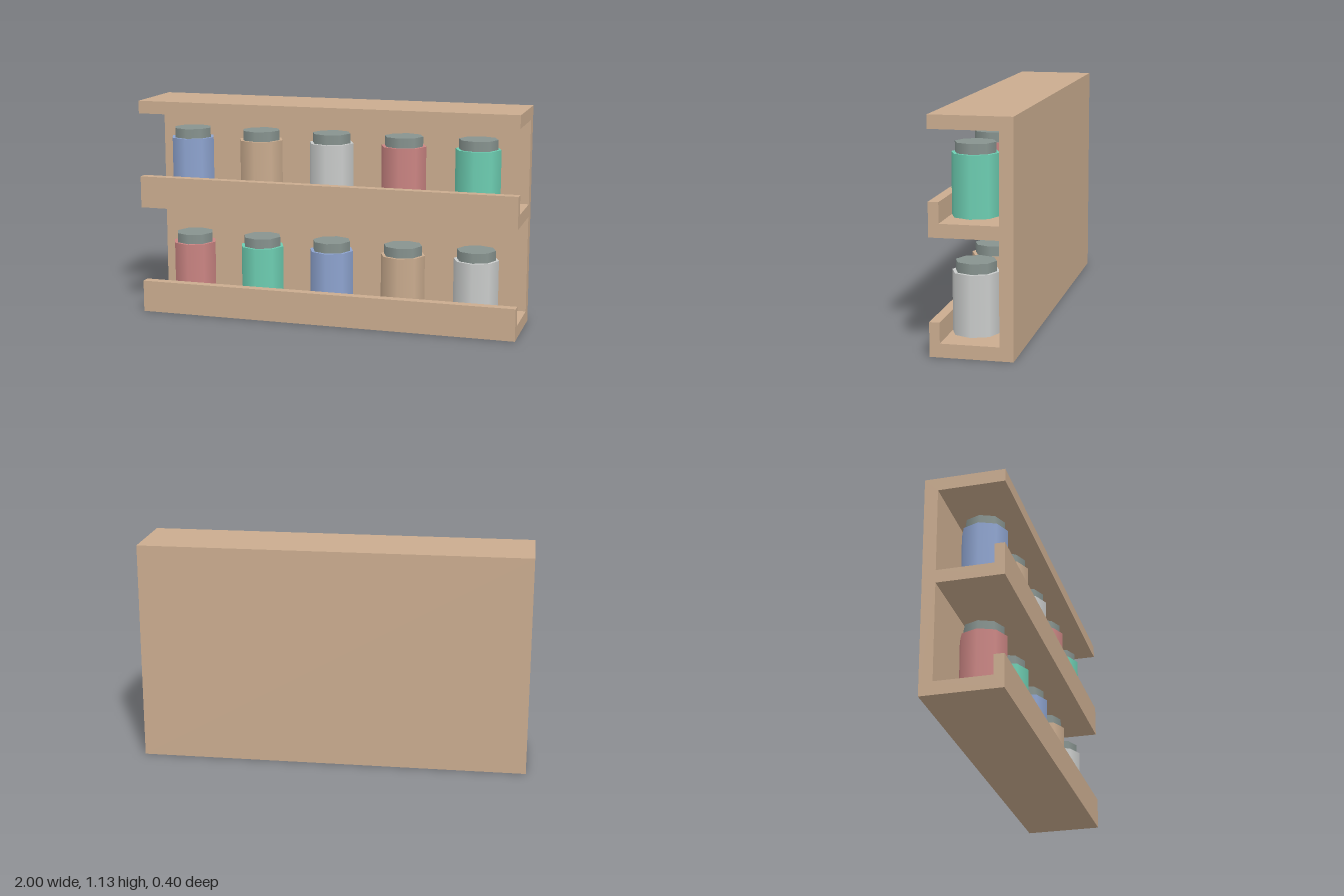
import * as THREE from 'three';

const mat = (name, color) => {
  const m = new THREE.MeshStandardMaterial({ color });
  m.name = name;
  return m;
};

export function createModel() {
  const group = new THREE.Group();
  group.name = 'jarShelf';

  const wood = mat('wood', 0xcaac8f);
  const lidGrey = mat('lidGrey', 0x87938f);
  const blue = mat('blue', 0x8ea4d0);
  const white = mat('paleGrey', 0xcacccb);
  const red = mat('red', 0xcb8583);
  const green = mat('green', 0x6dceb2);

  // Shelf: side profile as [z, y], extruded along the full width
  const profile = [
    [-0.2, 0], [0.2, 0], [0.2, 0.167], [0.15, 0.167], [0.15, 0.067], [-0.133, 0.067],
    [-0.133, 0.567], [0.2, 0.567], [0.2, 0.733], [0.15, 0.733], [0.15, 0.633], [-0.133, 0.633],
    [-0.133, 1.067], [0.2, 1.067], [0.2, 1.133], [-0.2, 1.133],
  ];
  const shape = new THREE.Shape(profile.map(([z, y]) => new THREE.Vector2(-z, y)));
  const shelfGeo = new THREE.ExtrudeGeometry(shape, { depth: 2, bevelEnabled: false });
  shelfGeo.translate(0, 0, -1).rotateY(Math.PI / 2);
  const shelf = new THREE.Mesh(shelfGeo, wood);
  shelf.name = 'shelf';
  group.add(shelf);

  // Jars: eight-sided body with a narrower lid, origin at the base
  const bodyGeo = new THREE.CylinderGeometry(0.1165, 0.1165, 0.3, 8).translate(0, 0.15, 0);
  const lidGeo = new THREE.CylinderGeometry(0.1, 0.1, 0.05, 8).translate(0, 0.325, 0);
  const addJar = (x, y, color) => {
    const jar = new THREE.Group();
    jar.name = 'jar';
    const body = new THREE.Mesh(bodyGeo, color);
    body.name = 'jarBody';
    const lid = new THREE.Mesh(lidGeo, lidGrey);
    lid.name = 'jarLid';
    jar.add(body, lid);
    jar.position.set(x, y, 0.0335);
    group.add(jar);
  };

  // Two rows of five, listed from -x to +x
  const rows = [
    { y: 0.067, colors: [red, green, blue, wood, white] },
    { y: 0.633, colors: [blue, wood, white, red, green] },
  ];
  for (const { y, colors } of rows) {
    colors.forEach((color, i) => addJar((i - 2) * 0.383, y, color));
  }

  return group;
}
